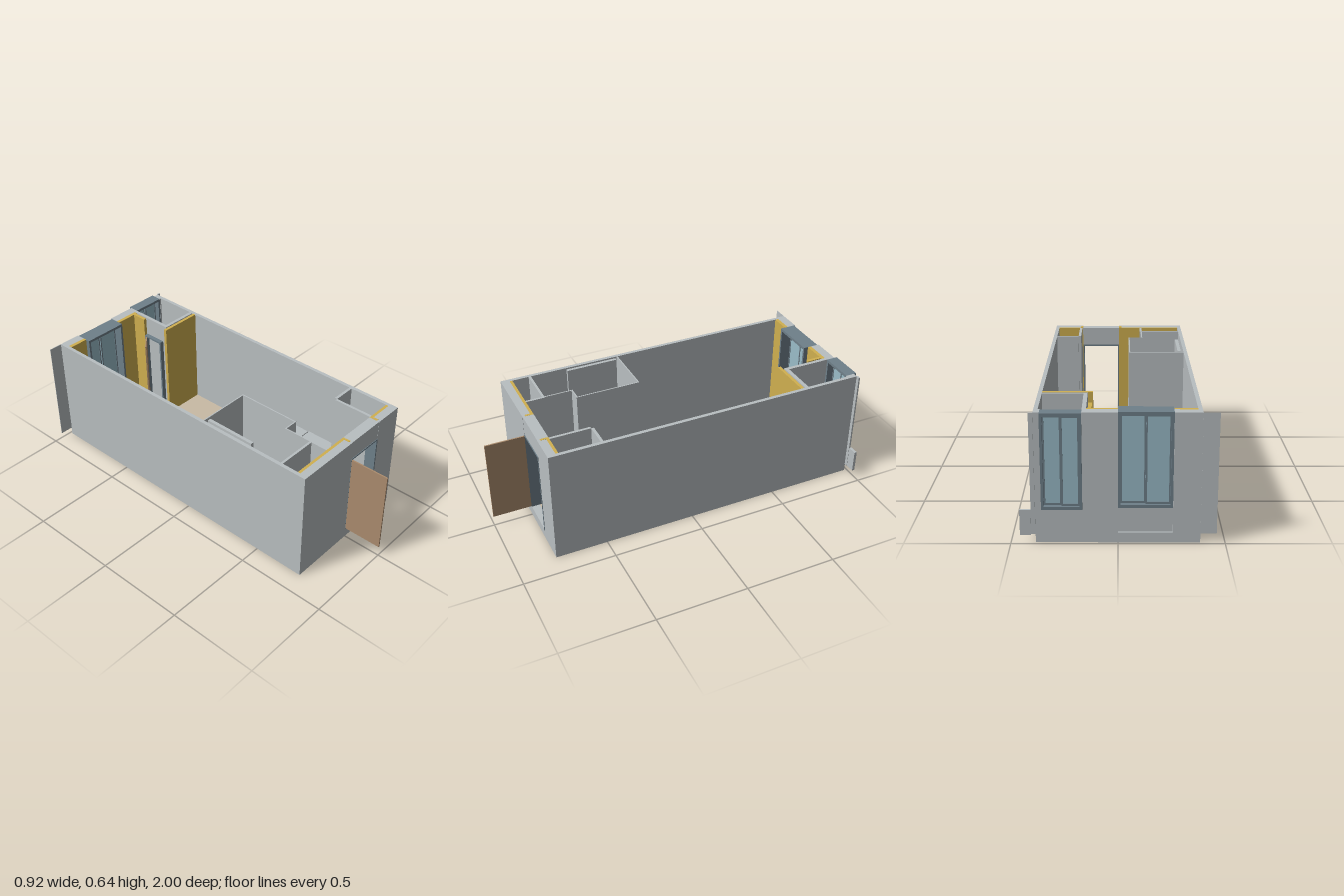
import * as THREE from 'three';

const mat = (name, color, side = THREE.FrontSide) => {
  const m = new THREE.MeshStandardMaterial({ color, side });
  m.name = name;
  return m;
};

export function createModel() {
  const grey = mat('wall grey', 0xb9bfc1);
  const tan = mat('floor tan', 0xc9bba5);
  const yellow = mat('lining yellow', 0xd0b050);
  const slate = mat('frame slate', 0x6f808a);
  const brown = mat('door brown', 0xab8c6e);
  const glass = mat('window glass', 0x9abcc8);

  const model = new THREE.Group();
  model.name = 'apartment';
  const H = 0.637, F = 0.055; // wall top and floor level

  // Box from its minimum and maximum on each axis
  const box = (name, m, x0, x1, y0, y1, z0, z1, parent = model) => {
    const mesh = new THREE.Mesh(new THREE.BoxGeometry(x1 - x0, y1 - y0, z1 - z0), m);
    mesh.position.set((x0 + x1) / 2, (y0 + y1) / 2, (z0 + z1) / 2);
    mesh.name = name;
    parent.add(mesh);
    return mesh;
  };
  const wall = (name, m, x0, x1, z0, z1) => box(name, m, x0, x1, F, H, z0, z1);

  // Slab and floor covering
  box('slab', grey, -0.384, 0.384, 0, 0.05, -0.985, 0.785);
  box('floor', tan, -0.366, 0.366, 0.05, F, -0.935, 0.74);
  box('floorHatch', tan, -0.205, -0.05, F, F + 0.003, -0.055, 0.1);

  // Long side walls
  for (const s of [-1, 1]) {
    const a = s * 0.384, b = s * 0.364;
    box('sideWall', grey, Math.min(a, b), Math.max(a, b), 0.05, H, -0.985, 0.785);
  }

  // Front wall with door opening
  box('frontWallRight', grey, -0.364, -0.005, 0.05, H, 0.74, 0.785);
  box('frontWallLeft', grey, 0.218, 0.364, 0.05, H, 0.74, 0.785);
  box('doorLintel', grey, -0.005, 0.218, 0.53, H, 0.725, 0.784);
  box('doorStep', grey, -0.005, 0.218, 0.05, F, 0.74, 0.785);
  wall('frontLining', yellow, -0.364, -0.005, 0.725, 0.74);
  wall('frontLining', yellow, 0.218, 0.364, 0.725, 0.74);
  box('doorReveal', yellow, -0.018, -0.005, F, H + 0.001, 0.74, 0.77);
  box('doorReveal', yellow, 0.218, 0.231, F, H + 0.001, 0.74, 0.77);
  box('doorJamb', slate, -0.005, 0.003, F, 0.53, 0.725, 0.787);
  box('doorJamb', slate, 0.21, 0.218, F, 0.53, 0.725, 0.787);
  box('doorHead', slate, 0.003, 0.21, 0.522, 0.53, 0.725, 0.787);
  box('entranceDoor', brown, -0.004, 0.004, 0.06, 0.523, 0.787, 1.0);

  // Back wall piers and lining
  for (const [x0, x1] of [[-0.364, -0.255], [0, 0.165], [0.355, 0.364]])
    box('backPier', grey, x0, x1, 0.05, H, -0.985, -0.935);
  wall('backLining', yellow, -0.364, -0.255, -0.935, -0.915);
  wall('backLining', yellow, 0, 0.145, -0.935, -0.915);

  // Outer facade fins and small side box
  box('facadeFin', grey, -0.46, -0.384, 0.045, H, -0.986, -0.983);
  box('facadeFin', grey, 0.384, 0.404, 0.045, H, -0.992, -0.983);
  box('facadeBox', grey, 0.404, 0.456, 0.045, 0.17, -1.0, -0.985);

  // Two-pane windows over sill panels
  const addWindow = (x0, x1, z0, z1) => {
    const g = new THREE.Group();
    g.name = 'window';
    model.add(g);
    const t = 0.012, y0 = 0.17, xm = (x0 + x1) / 2;
    box('windowHead', slate, x0, x1, H - 0.015, H, z0, z1, g);
    box('windowSill', slate, x0, x1, y0, y0 + 0.015, z0, z1, g);
    for (const x of [x0, x1 - t])
      box('windowJamb', slate, x, x + t, y0 + 0.015, H - 0.015, z0, z1, g);
    box('sillPanel', grey, x0, x1, 0.045, y0, z0 + 0.004, z1 - 0.01, g);
    [[x0 + t, xm, 0.014], [xm, x1 - t, 0.022]].forEach(([a, b, d]) => {
      const z = z0 + d;
      box('pane', glass, a, b, y0 + 0.015, H - 0.015, z + 0.003, z + 0.007, g);
      for (const x of [a, b - 0.007])
        box('sashStile', slate, x, x + 0.007, y0 + 0.015, H - 0.015, z, z + 0.01, g);
      for (const y of [y0 + 0.015, H - 0.025])
        box('sashRail', slate, a + 0.007, b - 0.007, y, y + 0.01, z, z + 0.01, g);
    });
  };
  addWindow(-0.255, 0, -0.977, -0.89);
  addWindow(0.165, 0.355, -1.0, -0.937);

  // Rear corner room
  wall('cornerWall', grey, 0.145, 0.165, -0.935, -0.67);
  wall('cornerWall', grey, 0.165, 0.364, -0.69, -0.67);
  wall('cornerPartition', yellow, 0.12, 0.364, -0.663, -0.645);
  wall('cornerLining', yellow, 0.12, 0.138, -0.915, -0.83);
  for (const z of [-0.83, -0.71])
    box('innerDoorJamb', slate, 0.12, 0.144, F, 0.53, z, z + 0.01);
  box('innerDoorHead', slate, 0.12, 0.144, 0.52, 0.53, -0.82, -0.71);
  const innerDoor = box('innerDoor', brown, 0.022, 0.148, 0.06, 0.523, -0.789, -0.781);
  innerDoor.rotation.y = Math.PI / 4;

  // Bathroom enclosure
  wall('bathWall', grey, -0.364, -0.06, 0.11, 0.117);
  wall('bathWall', grey, -0.067, -0.06, 0.117, 0.47);
  wall('bathWall', grey, -0.142, -0.067, 0.463, 0.47);
  wall('bathWall', grey, -0.142, -0.135, 0.47, 0.62);
  wall('bathWall', grey, -0.364, -0.13, 0.62, 0.633);
  wall('servicePanel', grey, -0.35, -0.332, 0.13, 0.42);
  box('bathFloor', grey, -0.364, -0.067, F, F + 0.006, 0.117, 0.463);
  box('bathFloor', grey, -0.364, -0.142, F, F + 0.006, 0.463, 0.62);

  // Toilet and basin, turned from a bowl profile
  const bowl = (name, x, z, y, h, sx, sz) => {
    const pts = [[0, 0], [0.55, 0], [0.65, 0.4], [1, 0.9], [1, 1], [0.75, 1], [0.5, 0.65], [0, 0.6]];
    const geo = new THREE.LatheGeometry(pts.map(([r, v]) => new THREE.Vector2(r, v)), 24);
    const mesh = new THREE.Mesh(geo, grey);
    mesh.scale.set(sx, h, sz);
    mesh.position.set(x, y, z);
    mesh.name = name;
    model.add(mesh);
  };
  bowl('toiletBowl', -0.255, 0.195, F, 0.1, 0.058, 0.042);
  box('toiletTank', grey, -0.332, -0.305, F, 0.22, 0.155, 0.235);
  bowl('basin', -0.262, 0.345, 0.17, 0.07, 0.034, 0.05);
  box('basinBracket', grey, -0.332, -0.29, 0.2, 0.235, 0.33, 0.36);

  // Wardrobes beside the entrance
  wall('wardrobeSide', grey, -0.143, -0.13, 0.633, 0.725);
  wall('wardrobeSide', grey, 0.222, 0.237, 0.505, 0.725);
  wall('wardrobeBack', grey, 0.237, 0.364, 0.49, 0.505);

  // Kitchen counter with a cut-out for the sink
  const top = 0.225;
  box('counterBase', grey, 0.215, 0.35, F, top - 0.03, -0.1, 0.245);
  const rect = (P, x0, x1, z0, z1, r) => {
    const p = new P();
    p.moveTo(x0 + r, -z0);
    p.lineTo(x1 - r, -z0);
    p.quadraticCurveTo(x1, -z0, x1, -z0 - r);
    p.lineTo(x1, -z1 + r);
    p.quadraticCurveTo(x1, -z1, x1 - r, -z1);
    p.lineTo(x0 + r, -z1);
    p.quadraticCurveTo(x0, -z1, x0, -z1 + r);
    p.lineTo(x0, -z0 - r);
    p.quadraticCurveTo(x0, -z0, x0 + r, -z0);
    return p;
  };
  const slab = rect(THREE.Shape, 0.215, 0.35, -0.1, 0.245, 0.001);
  slab.holes.push(rect(THREE.Path, 0.235, 0.335, -0.05, 0.053, 0.02));
  const counter = new THREE.Mesh(new THREE.ExtrudeGeometry(slab, { depth: 0.03, bevelEnabled: false }), grey);
  counter.rotation.x = -Math.PI / 2;
  counter.position.y = top - 0.03;
  counter.name = 'counterTop';
  model.add(counter);
  box('sinkBottom', slate, 0.23, 0.34, top - 0.03, top - 0.024, -0.055, 0.058);
  box('kitchenCabinet', grey, 0.215, 0.355, F, top, 0.25, 0.475);

  return model;
}
